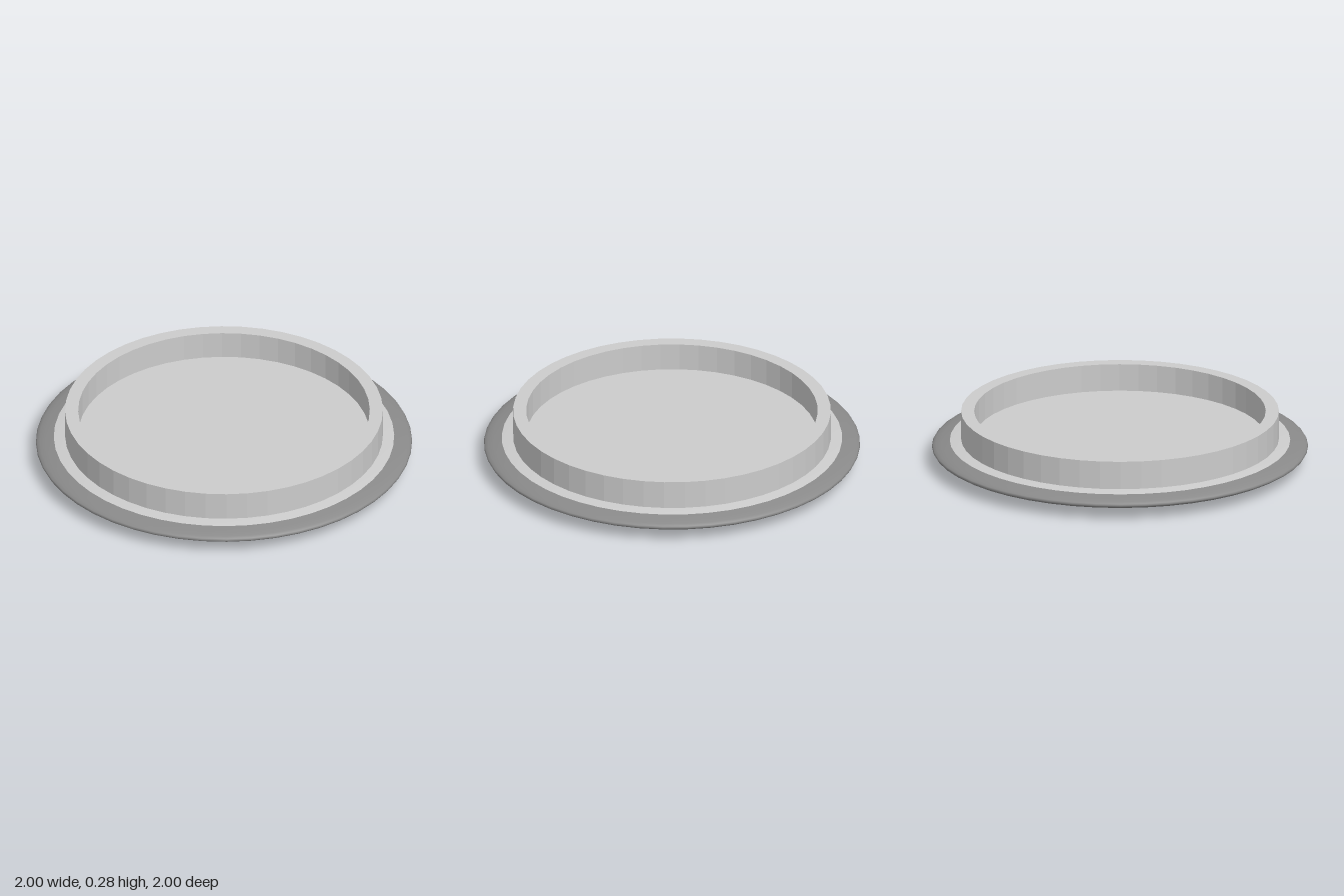
import * as THREE from 'three';

const SEGMENTS = 48;

// Revolves a profile of [radius, height] pairs, listed from the underside outwards and up.
function revolve(name, profile, color, flatShading) {
  const points = profile.map(([r, y]) => new THREE.Vector2(r, y));
  const mesh = new THREE.Mesh(
    new THREE.LatheGeometry(points, SEGMENTS),
    new THREE.MeshStandardMaterial({ color, flatShading })
  );
  mesh.name = name;
  return mesh;
}

export function createModel() {
  const group = new THREE.Group();
  group.name = 'lid';
  const light = 0xcccccc, dark = 0x8a8a8a, black = 0x0a0a0a;

  // Slightly domed plate, upper and lower faces
  group.add(revolve('plateTop', [[0.905, 0.118], [0.845, 0.127], [0.775, 0.132], [0, 0.135]], light, false));
  group.add(revolve('plateUnderside', [[0.36, 0.017], [0.48, 0.018], [0.7, 0.03], [0.905, 0.05]], light, false));

  // Darker rounded rim
  group.add(revolve('rim', [
    [0.905, 0.05], [0.95, 0.058], [0.98, 0.067], [0.995, 0.076], [1, 0.085],
    [0.995, 0.093], [0.98, 0.101], [0.95, 0.11], [0.905, 0.118]
  ], dark, false));

  // Upright faceted collar
  group.add(revolve('collar', [
    [0.775, 0.12], [0.845, 0.12], [0.845, 0.28], [0.775, 0.28], [0.775, 0.12]
  ], light, true));

  // Shallow foot ring with a black disc in its middle
  group.add(revolve('footRing', [[0.37, 0.004], [0.48, 0.008], [0.48, 0.022]], dark, true));
  group.add(revolve('centreDisc', [[0, 0], [0.37, 0], [0.37, 0.01]], black, true));

  return group;
}
